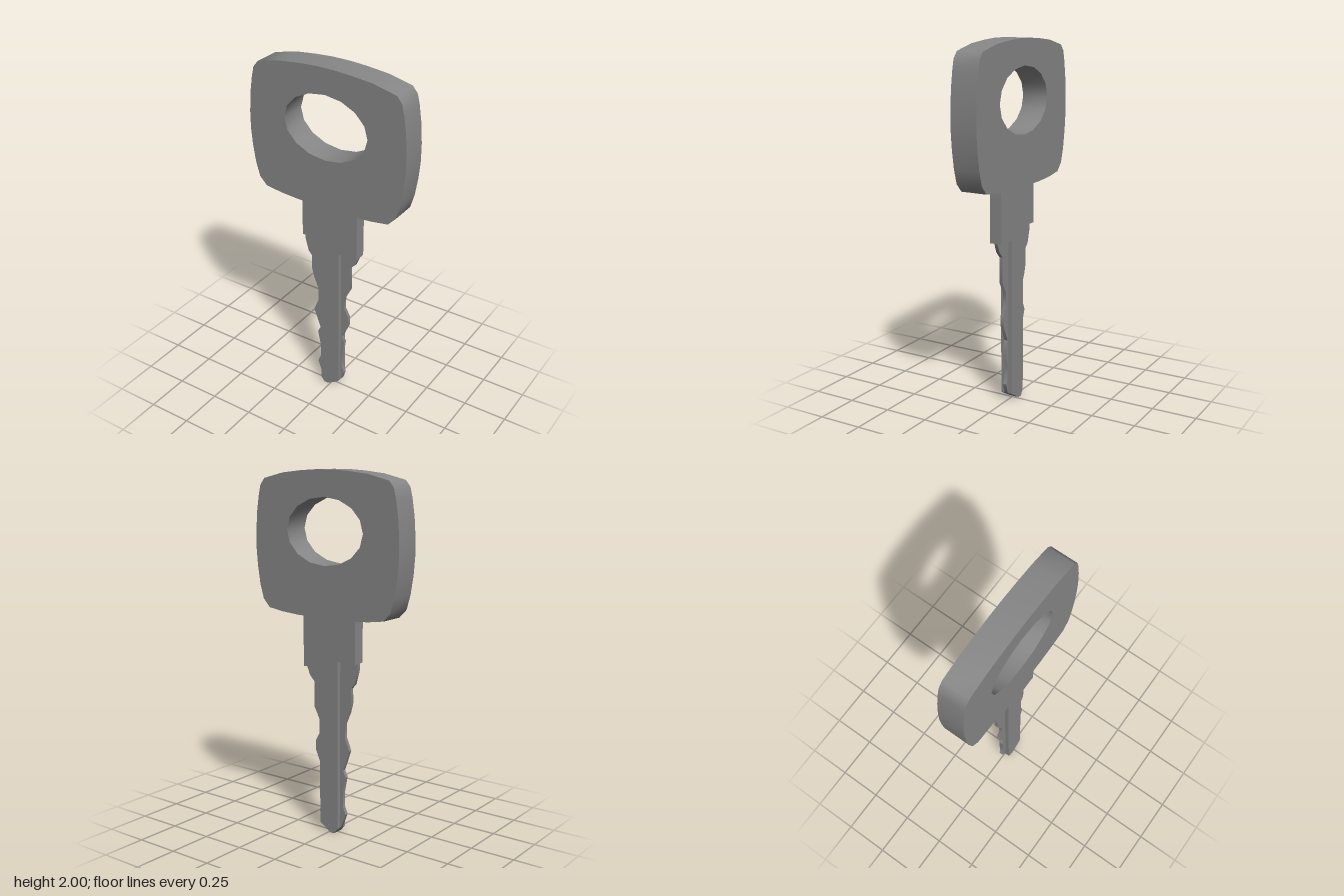
import * as THREE from 'three';
import { toCreasedNormals } from 'three/addons/utils/BufferGeometryUtils.js';

const material = new THREE.MeshStandardMaterial({ color: 0x868686 });
const toPoints = (pairs) => pairs.map(([x, y]) => new THREE.Vector2(x, y));

// Extrude an outline to a plate centred on z = 0
function plate(name, shape, thickness, crease) {
  const geometry = new THREE.ExtrudeGeometry(shape, { depth: thickness, bevelEnabled: false });
  geometry.translate(0, 0, -thickness / 2);
  const mesh = new THREE.Mesh(toCreasedNormals(geometry, crease), material);
  mesh.name = name;
  return mesh;
}

export function createModel() {
  const key = new THREE.Group();
  key.name = 'key';

  // Head: bulging rounded rectangle, mirrored about x = 0
  const side = [
    [0.17, 1.223], [0.285, 1.231], [0.38, 1.245], [0.423, 1.29], [0.446, 1.37],
    [0.462, 1.47], [0.47, 1.565], [0.47, 1.66], [0.462, 1.77], [0.448, 1.86],
    [0.435, 1.915], [0.406, 1.95], [0.275, 1.981], [0.15, 1.994], [0.05, 2],
  ];
  const mirrored = side.map(([x, y]) => [-x, y]).reverse();
  const head = new THREE.Shape(toPoints([...side, ...mirrored]));

  // Oval finger hole with 16 sides
  const hole = [];
  for (let i = 0; i < 16; i++) {
    const a = (i / 16) * Math.PI * 2;
    hole.push([0.25 * Math.cos(a), 1.68 + 0.18 * Math.sin(a)]);
  }
  head.holes.push(new THREE.Path(toPoints(hole)));
  key.add(plate('head', head, 0.15, 0.9));

  // Neck and central spine in one thick piece
  const spine = [
    [-0.175, 1.223], [-0.175, 0.985], [-0.06, 0.985], [-0.06, 0.03], [-0.037, 0],
    [-0.012, 0], [0.06, 0.046], [0.06, 0.933], [0.172, 0.933], [0.172, 1.223],
  ];
  key.add(plate('neckAndSpine', new THREE.Shape(toPoints(spine)), 0.07, 0.6));

  // Thin notched cutting edges, either side of the spine
  const leftEdge = [
    [-0.06, 0.985], [-0.175, 0.985], [-0.175, 0.945], [-0.155, 0.87], [-0.132, 0.843],
    [-0.134, 0.76], [-0.12, 0.705], [-0.092, 0.64], [-0.092, 0.56], [-0.122, 0.488],
    [-0.08, 0.37], [-0.098, 0.335], [-0.08, 0.245], [-0.08, 0.16], [-0.098, 0.117],
    [-0.07, 0.042], [-0.06, 0.03],
  ];
  const rightEdge = [
    [0.06, 0.046], [0.065, 0.05], [0.083, 0.105], [0.065, 0.15], [0.065, 0.21],
    [0.083, 0.325], [0.067, 0.36], [0.108, 0.455], [0.109, 0.51], [0.082, 0.56],
    [0.082, 0.635], [0.118, 0.705], [0.118, 0.848], [0.149, 0.88], [0.17, 0.933],
    [0.06, 0.933],
  ];
  key.add(plate('rightCuttingEdge', new THREE.Shape(toPoints(leftEdge)), 0.02, 0.6));
  key.add(plate('leftCuttingEdge', new THREE.Shape(toPoints(rightEdge)), 0.02, 0.6));

  return key;
}
